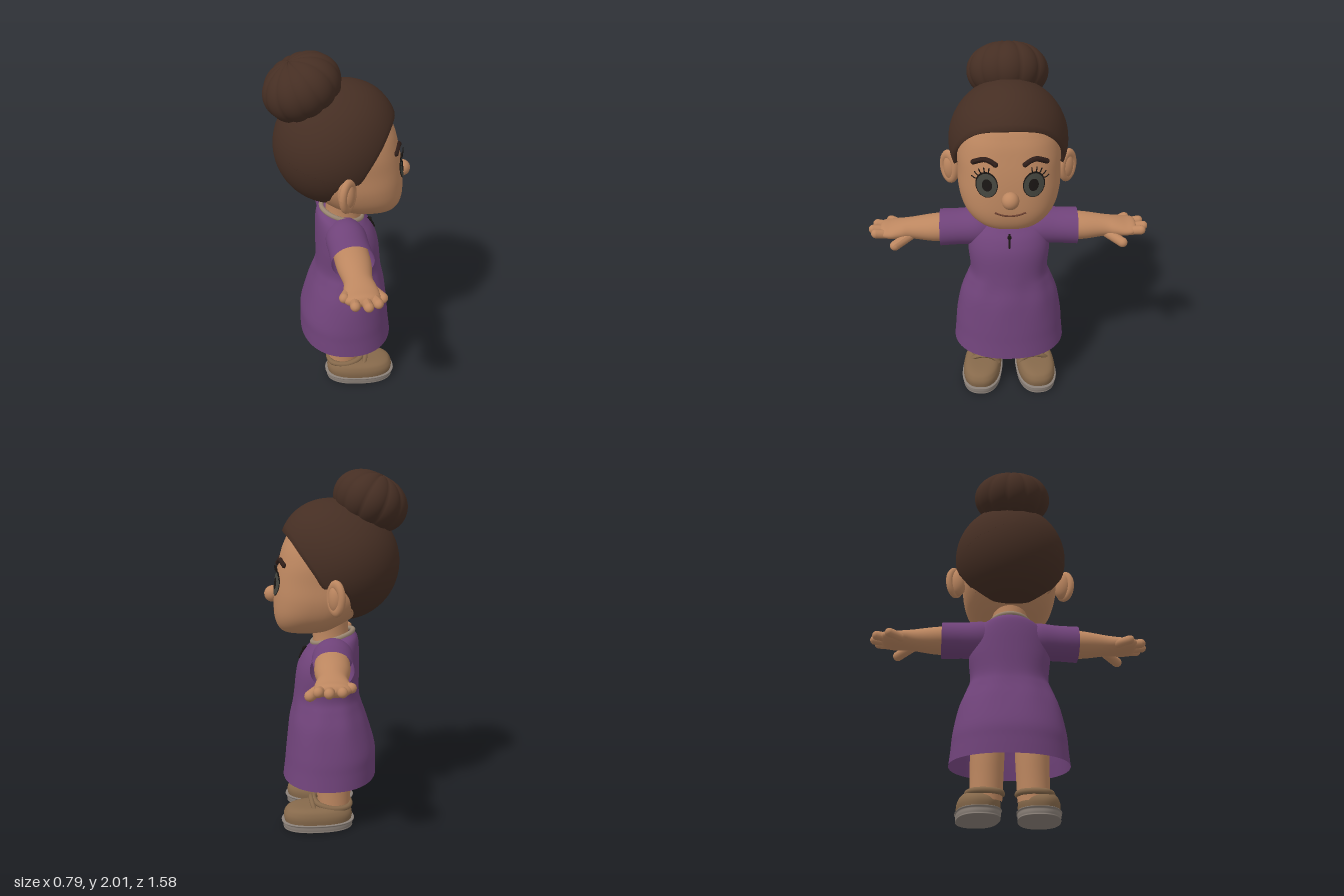
import * as THREE from 'three';

const mat = (name, color, side = THREE.FrontSide) => {
  const m = new THREE.MeshStandardMaterial({ color, side });
  m.name = name;
  return m;
};
const skin = mat('skin', 0xbd8760), hair = mat('dark brown hair', 0x452e23, THREE.DoubleSide);
const dress = mat('purple cloth', 0x70437a, THREE.DoubleSide), shoe = mat('brown leather', 0x86694b);
const sole = mat('grey sole', 0x8a8078), iris = mat('grey iris', 0x45463f);
const black = mat('black', 0x1a1614), brow = mat('brow brown', 0x2f1e19);
const lip = mat('lip line', 0x6b4030), trim = mat('beige trim', 0x998571);

// Smooth surface through a grid of points: u wraps round, v goes upward
function grid(nu, nv, point) {
  const pos = [], idx = [];
  for (let j = 0; j <= nv; j++) for (let i = 0; i < nu; i++) pos.push(...point(i / nu, j / nv));
  for (let j = 0; j < nv; j++) for (let i = 0; i < nu; i++) {
    const a = j * nu + i, b = j * nu + (i + 1) % nu;
    idx.push(a, a + nu, b, b, a + nu, b + nu);
  }
  const g = new THREE.BufferGeometry();
  g.setAttribute('position', new THREE.Float32BufferAttribute(pos, 3));
  g.setIndex(idx);
  g.computeVertexNormals();
  return g;
}

// Catmull-Rom interpolation of a cross-section list at t in 0..1
function section(rings, t) {
  const f = t * (rings.length - 1), k = Math.min(Math.floor(f), rings.length - 2), s = f - k;
  const [a, b, c, d] = [k - 1, k, k + 1, k + 2].map(i => rings[Math.max(0, Math.min(rings.length - 1, i))]);
  return b.map((_, i) => b[i] + 0.5 * s * (c[i] - a[i]
    + s * (2 * a[i] - 5 * b[i] + 4 * c[i] - d[i] + s * (3 * (b[i] - c[i]) + d[i] - a[i]))));
}

// Loft through rings [y, centreX, centreZ, radiusX, radiusZ]; power < 1 squares the outline
function loft(rings, { n = 40, power = 1, tweak } = {}) {
  const pw = v => Math.sign(v) * Math.abs(v) ** power;
  return grid(n, (rings.length - 1) * 5, (u, v) => {
    const [y, cx, cz, rx, rz] = section(rings, v), a = u * Math.PI * 2;
    const p = [cx + Math.max(rx, 0) * pw(Math.cos(a)), y, cz + Math.max(rz, 0) * pw(Math.sin(a))];
    return tweak ? tweak(p, a) : p;
  });
}

function tube(points, r, closed = false, seg = 20) {
  const curve = new THREE.CatmullRomCurve3(points.map(p => new THREE.Vector3(...p)), closed);
  return new THREE.TubeGeometry(curve, seg, r, 8, closed);
}

function ball(x, y, z, rx, ry, rz) {
  return new THREE.SphereGeometry(1, 28, 20).scale(rx, ry, rz).translate(x, y, z);
}

// Rounded finger between two points
function finger(a, b, r) {
  const p = new THREE.Vector3(...a), q = new THREE.Vector3(...b), d = q.clone().sub(p);
  const turn = new THREE.Quaternion().setFromUnitVectors(new THREE.Vector3(0, 1, 0), d.clone().normalize());
  return new THREE.CapsuleGeometry(r, d.length(), 8, 16).applyQuaternion(turn)
    .translate(...p.add(q).multiplyScalar(0.5).toArray());
}

function mirrored(geo) {
  const g = geo.clone().scale(-1, 1, 1), ix = g.index.array;
  for (let i = 0; i < ix.length; i += 3) [ix[i], ix[i + 1]] = [ix[i + 1], ix[i]];
  g.computeVertexNormals();
  return g;
}

// Skull cross-sections from chin to crown
const headRings = [
  [1.118, 0, 0.18, 0.01, 0.01], [1.13, 0, 0.17, 0.12, 0.115], [1.165, 0, 0.15, 0.19, 0.172],
  [1.23, 0, 0.11, 0.245, 0.23], [1.32, 0, 0.07, 0.272, 0.27], [1.42, 0, 0.05, 0.274, 0.28],
  [1.52, 0, 0.03, 0.274, 0.28], [1.62, 0, 0.02, 0.25, 0.26], [1.7, 0, 0, 0.2, 0.22], [1.75, 0, 0, 0.01, 0.01]];
const headPower = 0.78;

// Depth of the face surface at (x, y)
function faceZ(x, y) {
  let lo = 0, hi = 1;
  for (let i = 0; i < 30; i++) {
    const m = (lo + hi) / 2;
    if (section(headRings, m)[0] < y) lo = m; else hi = m;
  }
  const [, , cz, rx, rz] = section(headRings, lo), e = 2 / headPower;
  return cz + rz * Math.max(0, 1 - Math.abs(x / rx) ** e) ** (1 / e);
}
const onFace = (x, y, off = 0) => [x, y, faceZ(x, y) + off];

// Thin oval that follows the face
function facePatch(cx, cy, rx, ry, off) {
  const g = new THREE.RingGeometry(0.001, 1, 32, 5).scale(rx, ry, 1).translate(cx, cy, 0), p = g.attributes.position;
  for (let i = 0; i < p.count; i++) p.setZ(i, faceZ(p.getX(i), p.getY(i)) + off);
  g.computeVertexNormals();
  return g;
}

// Hair cap: sweeps from the hairline back to a pole behind the head
function hairCap() {
  const half = [[0.13, 1.2, -0.085], [0.23, 1.25, -0.09], [0.285, 1.36, -0.07], [0.288, 1.43, -0.01],
    [0.278, 1.41, 0.05], [0.272, 1.48, 0.1], [0.25, 1.56, 0.165], [0.17, 1.645, 0.235]];
  const loop = [[0, 1.19, -0.09], ...half, [0, 1.672, 0.27], ...half.map(([x, y, z]) => [-x, y, z]).reverse()];
  const line = new THREE.CatmullRomCurve3(loop.map(p => new THREE.Vector3(...p)), true);
  const centre = new THREE.Vector3(0, 1.51, -0.03), pole = new THREE.Vector3(0, 0.2, -1).normalize();
  const bulge = new THREE.Vector3(0, 0.72, 0.69), rim = 3, n = 30;
  return grid(90, n, (u, v) => {
    const edge = line.getPoint(u).sub(centre), len = edge.length(), d0 = edge.normalize();
    const j = Math.round(v * n), t = Math.max(0, (j - rim) / (n - rim)), w = d0.angleTo(pole);
    const d = d0.clone().multiplyScalar(Math.sin((1 - t) * w)).addScaledVector(pole, Math.sin(t * w)).normalize();
    const full = 0.322 + 0.048 * Math.max(0, d.dot(bulge)) ** 3;
    const r = j < rim ? len * 0.93 + (full - len * 0.93) * (j / rim) : full;
    return d.multiplyScalar(r).add(centre).toArray();
  });
}

export function createModel() {
  const root = new THREE.Group(), figure = new THREE.Group();
  root.name = 'girl';
  figure.name = 'figure';
  figure.rotation.y = Math.PI / 2; // modelled facing +z, turned to face +x
  root.add(figure);
  const add = (name, geo, m) => {
    const mesh = new THREE.Mesh(geo, m);
    mesh.name = name;
    figure.add(mesh);
  };
  const pair = (name, geo, m) => {
    add(name + 'Left', geo, m);
    add(name + 'Right', mirrored(geo), m);
  };

  // Head and neck
  add('head', loft(headRings, { n: 64, power: headPower }), skin);
  add('neck', loft([[1.0, 0, 0.02, 0.12, 0.11], [1.1, 0, 0.025, 0.1, 0.1], [1.25, 0, 0.03, 0.11, 0.1]]), skin);
  add('nose', ball(0, 1.33, 0.35, 0.045, 0.046, 0.046), skin);
  pair('ear', ball(0.305, 1.36, -0.01, 0.05, 0.085, 0.045), skin);
  pair('earRim', new THREE.TorusGeometry(0.045, 0.02, 12, 32).scale(1, 1.5, 1).rotateY(0.75).translate(0.322, 1.362, -0.005), skin);

  // Face
  pair('eyeOutline', facePatch(0.12, 1.407, 0.057, 0.067, 0.003), black);
  pair('iris', facePatch(0.12, 1.405, 0.052, 0.061, 0.005), iris);
  pair('pupil', facePatch(0.118, 1.407, 0.026, 0.032, 0.007), black);
  for (let i = 0; i < 5; i++) {
    const a = 0.45 + i * 0.32, c = Math.cos(a), s = Math.sin(a);
    pair('lash' + i, tube([onFace(0.12 + 0.052 * c, 1.407 + 0.062 * s, 0.004),
      onFace(0.12 + 0.07 * c, 1.407 + 0.078 * s, 0.016), onFace(0.12 + 0.085 * c, 1.407 + 0.1 * s, 0.022)], 0.003, false, 6), black);
  }
  const browAt = t => onFace(0.075 + 0.11 * t, 1.513 + 0.022 * Math.sin(Math.PI * Math.min(1, t * 1.05)), 0.002);
  pair('eyebrow', tube([0, 0.25, 0.5, 0.75, 1].map(browAt), 0.014), brow);
  pair('eyebrowInnerEnd', ball(...browAt(0), 0.014, 0.014, 0.014), brow);
  pair('eyebrowOuterEnd', ball(...browAt(1), 0.014, 0.014, 0.014), brow);
  add('mouth', tube([-0.08, -0.045, 0, 0.045, 0.08].map(x => onFace(x, 1.238 + 2.8 * x * x, 0.001)), 0.005), lip);

  // Hair and fluted bun
  add('hair', hairCap(), hair);
  const bunRings = Array.from({ length: 13 }, (_, i) => {
    const a = -Math.PI / 2 + Math.PI * i / 12, c = Math.max(0.005, Math.cos(a) ** 0.85);
    return [0.153 * Math.sin(a), 0, 0, 0.217 * c, 0.207 * c];
  });
  const flute = ([x, y, z], a) => {
    const k = 0.965 + 0.05 * Math.abs(Math.cos(a * 6 + 0.3)) ** 0.7;
    return [x * k, y * (0.97 + 0.6 * (k - 0.965)), z * k];
  };
  add('bun', loft(bunRings, { n: 120, tweak: flute }).rotateX(-0.45).translate(0, 1.835, -0.19), hair);

  // Dress with soft folds below the waist and a neckline lower in front
  const dressRings = [
    [0.275, 0, 0.035, 0.325, 0.27], [0.36, 0, 0.03, 0.316, 0.264], [0.45, 0, 0.028, 0.308, 0.257],
    [0.6, 0, 0.04, 0.28, 0.226], [0.7, 0, 0.047, 0.243, 0.198], [0.77, 0, 0.05, 0.22, 0.186],
    [0.9, 0, 0.043, 0.23, 0.178], [1.0, 0, 0.028, 0.215, 0.162], [1.06, 0, 0.015, 0.175, 0.14], [1.09, 0, 0.012, 0.12, 0.113]];
  const drape = ([x, y, z], a) => {
    const fold = 1 + 0.012 * Math.sin(a * 9) * Math.exp(-(((y - 0.66) / 0.1) ** 2));
    const top = Math.min(1, Math.max(0, (y - 0.93) / 0.13));
    return [x * fold, y - 0.03 * top * Math.sin(a) - 0.008 * (1 - Math.min(1, y / 0.5)) * Math.sin(a), z * fold];
  };
  add('dress', loft(dressRings, { n: 72, power: 0.92, tweak: drape }), dress);
  pair('sleeve', loft([[0.08, -1.005, 0.012, 0.09, 0.09], [0.16, -1.005, 0.013, 0.105, 0.112],
    [0.27, -1.0, 0.014, 0.1, 0.112], [0.385, -0.996, 0.015, 0.101, 0.116]]).rotateZ(-Math.PI / 2), dress);
  add('collar', tube(Array.from({ length: 12 }, (_, i) => {
    const a = i * Math.PI / 6;
    return [0.117 * Math.cos(a), 1.09 - 0.035 * Math.sin(a), 0.015 + 0.115 * Math.sin(a)];
  }), 0.014, true, 60), trim);
  add('necklineSlit', tube([[0, 1.03, 0.166], [0, 0.99, 0.192], [0, 0.96, 0.205]], 0.006), black);
  add('button', ball(0, 1.015, 0.18, 0.012, 0.012, 0.008), black);

  // Arms and hands
  pair('arm', loft([[0.3, -1.0, 0.015, 0.08, 0.095], [0.42, -0.995, 0.014, 0.075, 0.092],
    [0.54, -0.993, 0.012, 0.058, 0.076], [0.6, -0.99, 0.012, 0.05, 0.084], [0.66, -0.985, 0.008, 0.042, 0.094],
    [0.71, -0.988, 0.008, 0.032, 0.08], [0.73, -0.99, 0.01, 0.005, 0.01]]).rotateZ(-Math.PI / 2), skin);
  [[0.61, -0.05, 0.672, -0.08], [0.66, -0.03, 0.745, -0.037], [0.66, 0.02, 0.762, 0.026], [0.66, 0.06, 0.742, 0.078]]
    .forEach(([x0, z0, x1, z1], i) => pair('finger' + i, finger([x0, 0.98, z0], [x1, 0.993, z1], 0.026), skin));
  pair('thumb', finger([0.56, 0.965, 0.06], [0.635, 0.94, 0.122], 0.028), skin);

  // Legs and shoes
  pair('leg', loft([[0.08, 0.125, 0.005, 0.085, 0.09], [0.2, 0.122, 0.01, 0.088, 0.098],
    [0.35, 0.12, 0.015, 0.092, 0.108], [0.5, 0.12, 0.02, 0.09, 0.105]]), skin);
  const shoePart = rings => loft(rings.map(([y, k, z = 0]) => [y, 0, z, 0.115 * k, 0.2 * k]), { n: 48, power: 0.82 })
    .rotateY(0.1).translate(0.162, 0, 0.1);
  pair('sole', shoePart([[0, 0.01], [0.001, 0.9], [0.012, 0.99], [0.035, 1], [0.048, 0.97], [0.05, 0.01]]), sole);
  pair('shoe', shoePart([[0.044, 0.96], [0.075, 0.985], [0.1, 0.95], [0.122, 0.84], [0.134, 0.6, -0.01], [0.136, 0.01, -0.01]]), shoe);
  pair('shoeCollar', tube([[0.04, 0.128, 0.02], [0.07, 0.145, 0.1], [0.135, 0.16, 0.125], [0.2, 0.145, 0.095],
    [0.222, 0.128, 0.01], [0.19, 0.125, -0.07], [0.125, 0.125, -0.085], [0.06, 0.125, -0.06]], 0.016, true, 48), shoe);
  pair('shoeStrap', tube([[0.065, 0.11, 0.14], [0.1, 0.15, 0.14], [0.15, 0.165, 0.14], [0.2, 0.15, 0.13], [0.24, 0.11, 0.11]], 0.014), shoe);
  return root;
}
